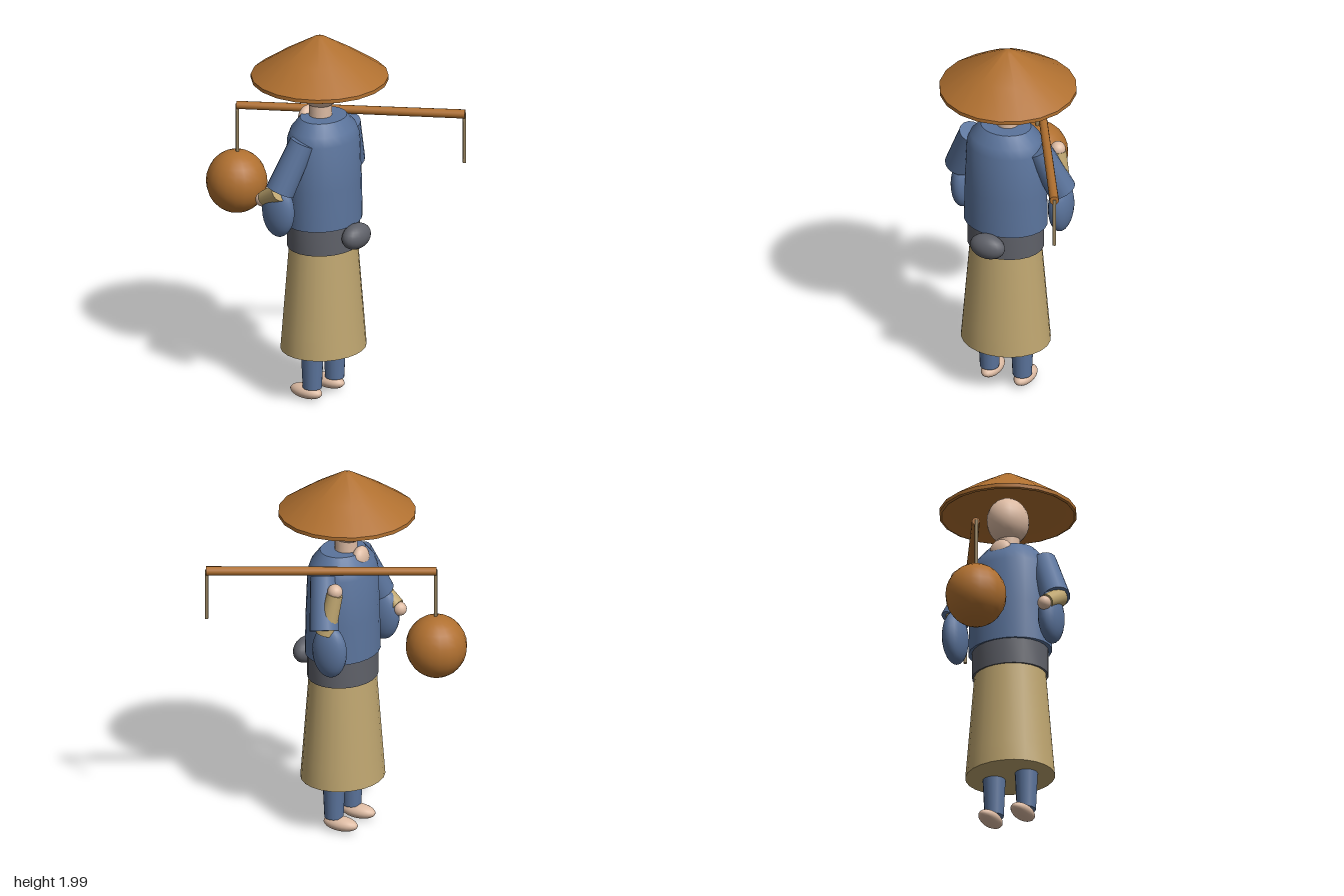
import * as THREE from 'three';
import { toCreasedNormals } from 'three/addons/utils/BufferGeometryUtils.js';

const CX = -0.095; // body axis
const CZ = 0.075;

export function createModel() {
  const model = new THREE.Group();
  model.name = 'strawHatPorter';

  const material = (name, color) => {
    const m = new THREE.MeshStandardMaterial({ color });
    m.name = name;
    return m;
  };
  const straw = material('brownStraw', 0xb07030);
  const blue = material('blueCloth', 0x5b749c);
  const tan = material('tanCloth', 0xbfa670);
  const grey = material('greySash', 0x5f6169);
  const skin = material('skin', 0xdebca4);
  const cord = material('cord', 0x9a8662);

  const add = (name, geometry, mat, x = 0, y = 0, z = 0) => {
    const mesh = new THREE.Mesh(geometry, mat);
    mesh.name = name;
    mesh.position.set(x, y, z);
    model.add(mesh);
    return mesh;
  };
  // Ellipsoid from a centre and three radii
  const ball = (name, mat, [x, y, z], [rx, ry, rz]) =>
    add(name, new THREE.SphereGeometry(1, 20, 14).scale(rx, ry, rz), mat, x, y, z);
  // Round body from a profile of [radius, height], flattened in z
  const turned = (name, mat, profile, x, z, flat = 1, segments = 24) => {
    const points = profile.map(([r, y]) => new THREE.Vector2(r, y));
    const geometry = new THREE.LatheGeometry(points, segments).scale(1, 1, flat);
    return add(name, toCreasedNormals(geometry, 0.7), mat, x, 0, z);
  };
  // Tapered rod between two points
  const rod = (name, mat, from, to, r0, r1, sides = 16) => {
    const a = new THREE.Vector3(...from), b = new THREE.Vector3(...to);
    const axis = b.clone().sub(a);
    const mesh = add(name, new THREE.CylinderGeometry(r1, r0, axis.length(), sides), mat);
    mesh.position.copy(a).add(b).multiplyScalar(0.5);
    mesh.quaternion.setFromUnitVectors(new THREE.Vector3(0, 1, 0), axis.normalize());
    return mesh;
  };

  // Clothing
  turned('skirt', tan, [[0, 0.28], [0.238, 0.28], [0.228, 0.4], [0.19, 0.86], [0, 0.86]], CX, CZ, 0.9);
  turned('sash', grey, [[0, 0.85], [0.203, 0.85], [0.203, 1.0], [0, 1.0]], CX, CZ, 0.88);
  ball('sashKnot', grey, [CX, 0.94, 0.29], [0.097, 0.068, 0.06]);
  turned('jacket', blue, [[0, 0.99], [0.225, 0.99], [0.221, 1.2], [0.21, 1.45], [0.19, 1.5],
    [0.135, 1.56], [0, 1.56]], CX, CZ, 0.83);

  // Head, neck and open collar
  ball('head', skin, [CX, 1.725, 0.05], [0.108, 0.125, 0.12]);
  rod('neck', skin, [CX, 1.5, 0.055], [CX, 1.65, 0.055], 0.06, 0.06);
  ball('openCollar', skin, [CX, 1.525, -0.03], [0.063, 0.065, 0.04]);

  // Conical hat, hollow underneath
  turned('hat', straw, [[0, 1.955], [0.345, 1.755], [0.357, 1.76], [0.357, 1.78], [0.2, 1.887],
    [0.03, 1.99], [0, 2.0]], CX, 0.05, 1, 20);

  // Legs, feet and sleeves on both sides
  for (const side of [-1, 1]) {
    const label = side > 0 ? 'left' : 'right';
    const legX = CX + side * 0.094;
    rod(label + 'Leg', blue, [legX, 0.075, CZ], [legX, 0.4, CZ], 0.05, 0.065);
    ball(label + 'Foot', skin, [legX, 0.045, 0.035], [0.05, 0.038, 0.098]);
    rod(label + 'UpperSleeve', blue, [CX + side * 0.295, 1.215, 0.02],
      [CX + side * 0.19, 1.47, 0.085], 0.077, 0.067);
    ball(label + 'HangingSleeve', blue, [CX + side * 0.28, 1.1, -0.003], [0.06, 0.145, 0.097]);
  }

  // Left forearm raised to steady the pole
  rod('leftForearm', tan, [0.195, 1.2, 0.015], [0.16, 1.415, -0.02], 0.052, 0.042);
  ball('leftHand', skin, [0.158, 1.43, -0.02], [0.04, 0.04, 0.04]);
  // Right forearm held forward
  rod('rightForearm', tan, [-0.405, 1.22, 0.03], [-0.388, 1.15, -0.085], 0.05, 0.04);
  ball('rightHand', skin, [-0.385, 1.14, -0.1], [0.035, 0.037, 0.037]);

  // Carrying pole with cords and a round load
  rod('pole', straw, [-0.165, 1.512, -0.44], [0.437, 1.525, 0.588], 0.021, 0.024, 12);
  rod('rearCord', cord, [-0.165, 1.22, -0.435], [-0.165, 1.52, -0.435], 0.009, 0.009, 8);
  rod('frontCord', cord, [0.435, 1.255, 0.585], [0.435, 1.53, 0.585], 0.009, 0.009, 8);
  ball('roundLoad', straw, [-0.165, 1.09, -0.44], [0.158, 0.168, 0.16]);

  return model;
}
